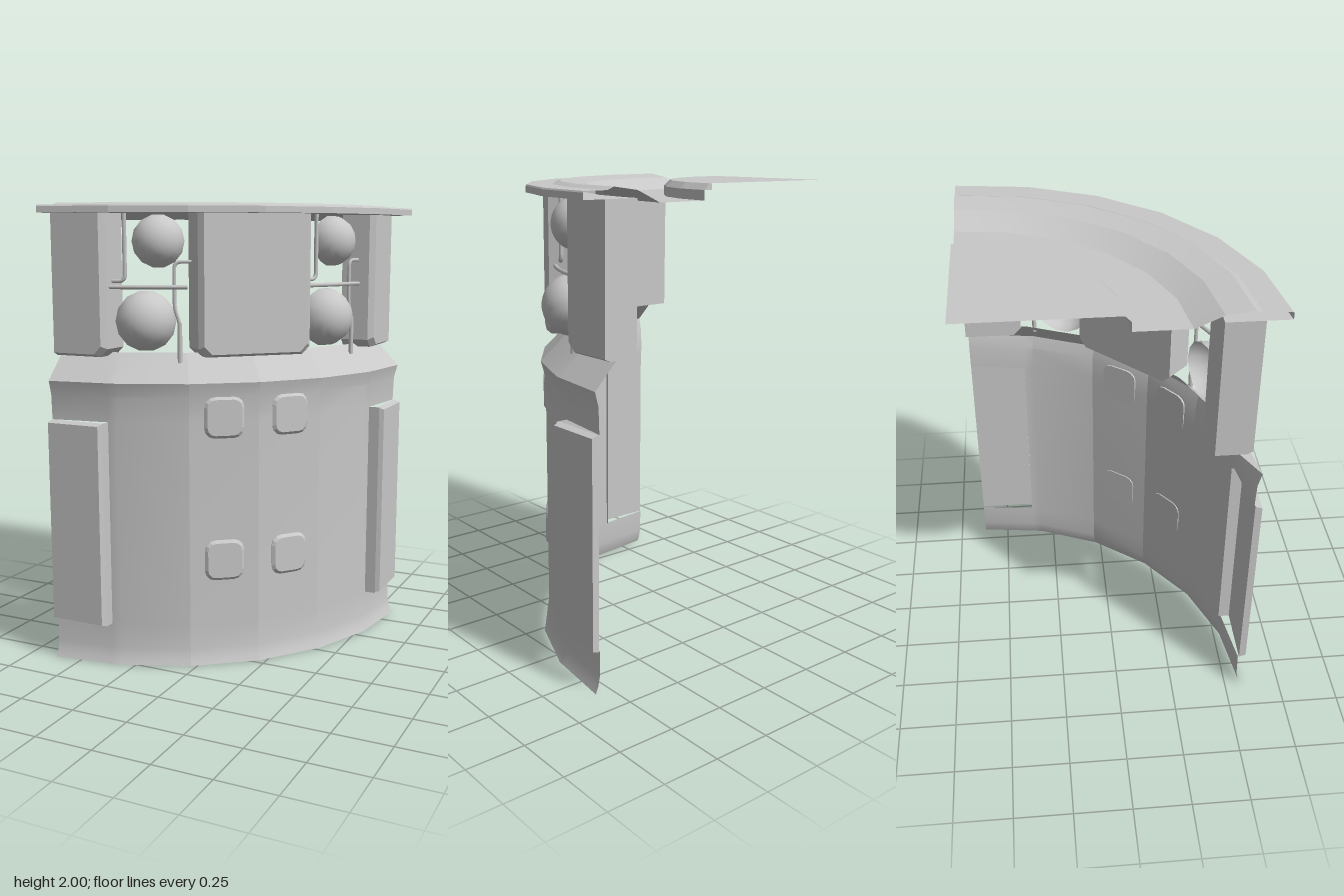
import * as THREE from 'three';
import { toCreasedNormals } from 'three/addons/utils/BufferGeometryUtils.js';

const grey = new THREE.MeshStandardMaterial({ color: 0xc8c8c8, side: THREE.DoubleSide });
grey.name = 'plainGrey';
const rad = THREE.MathUtils.degToRad;
const V2 = (x, y) => new THREE.Vector2(x, y);
// point around the tower axis: angle in degrees from +z towards +x
const polar = (deg, r, y) => new THREE.Vector3(Math.sin(rad(deg)) * r, y, Math.cos(rad(deg)) * r);

function add(parent, geometry, name) {
  const mesh = new THREE.Mesh(geometry, grey);
  mesh.name = name;
  parent.add(mesh);
  return mesh;
}

function geometryFrom(positions) {
  const g = new THREE.BufferGeometry();
  g.setAttribute('position', new THREE.Float32BufferAttribute(positions, 3));
  g.computeVertexNormals();
  return g;
}

// closed solid through matching convex outlines, each { z, pts }, from back to front
function loft(rings) {
  const out = [];
  const put = (p, z) => out.push(p.x, p.y, z);
  const n = rings[0].pts.length;
  for (let i = 0; i < rings.length - 1; i++) {
    const a = rings[i], b = rings[i + 1];
    for (let j = 0; j < n; j++) {
      const k = (j + 1) % n;
      put(a.pts[j], a.z); put(a.pts[k], a.z); put(b.pts[k], b.z);
      put(a.pts[j], a.z); put(b.pts[k], b.z); put(b.pts[j], b.z);
    }
  }
  const back = rings[0], front = rings[rings.length - 1];
  for (let j = 1; j < n - 1; j++) {
    put(front.pts[0], front.z); put(front.pts[j], front.z); put(front.pts[j + 1], front.z);
    put(back.pts[0], back.z); put(back.pts[j + 1], back.z); put(back.pts[j], back.z);
  }
  return geometryFrom(out);
}

// wall strip: rows of [radius, y] swept over unit directions, with optional gaps
function sweepWall(profile, cols, skip) {
  const out = [];
  const put = (c, p) => out.push(c.x * p[0], p[1], c.z * p[0]);
  for (let i = 0; i < cols.length - 1; i++) {
    for (let j = 0; j < profile.length - 1; j++) {
      if (skip(cols[i], cols[i + 1], profile[j], profile[j + 1])) continue;
      const a = cols[i], b = cols[i + 1], p = profile[j], q = profile[j + 1];
      put(a, p); put(b, p); put(b, q);
      put(a, p); put(b, q); put(a, q);
    }
  }
  return toCreasedNormals(geometryFrom(out), 0.32);
}

// rectangle with cut bottom corners; a flat side (cut plane) keeps its place when inset
function boxOutline(x0, x1, inset) {
  const l = x0 === 0 ? 0 : 1, r = x1 === 0 ? 0 : 1, c = 0.035, y0 = 1.355 + inset * 0.6;
  const a = x0 + inset * l, b = x1 - inset * r;
  return [V2(a + c * l, y0), V2(b - c * r, y0), V2(b, y0 + c), V2(b, 1.956), V2(a, 1.956), V2(a, y0 + c)];
}

function rectOutline(x0, x1, y0, y1) {
  return [V2(x0, y0), V2(x1, y0), V2(x1, y1), V2(x0, y1)];
}

function roundedOutline(w, h, r) {
  const pts = [];
  [[1, -1, -90], [1, 1, 0], [-1, 1, 90], [-1, -1, 180]].forEach(([sx, sy, start]) => {
    for (let k = 0; k <= 3; k++) {
      const t = rad(start + k * 30);
      pts.push(V2(sx * (w / 2 - r) + Math.cos(t) * r, sy * (h / 2 - r) + Math.sin(t) * r));
    }
  });
  return pts;
}

// pipe with tight bends through the given points
function pipe(points, radius) {
  const path = new THREE.CurvePath();
  let from = points[0];
  for (let i = 1; i < points.length - 1; i++) {
    const p = points[i];
    const near = (q) => p.clone().lerp(q, Math.min(0.4, 0.03 / p.distanceTo(q)));
    const a = near(points[i - 1]), b = near(points[i + 1]);
    path.add(new THREE.LineCurve3(from, a));
    path.add(new THREE.QuadraticBezierCurve3(a, p, b));
    from = b;
  }
  path.add(new THREE.LineCurve3(from, points[points.length - 1]));
  return new THREE.TubeGeometry(path, 40, radius, 6);
}

export function createModel() {
  const model = new THREE.Group();
  model.name = 'quarterTower';
  const tower = new THREE.Group();
  tower.name = 'towerSector';
  tower.position.set(-0.62, 0, -0.62);
  model.add(tower);

  // lower wall with sloped shoulder, open behind the two end panels
  const profile = [[1.192, 0], [1.18, 0.03], [1.172, 0.07], [1.17, 0.18], [1.17, 1.08], [1.174, 1.19],
    [1.19, 1.25], [1.075, 1.37]];
  const dir = (deg) => polar(deg, 1, 0);
  const edge = 0.86;
  const startEdge = dir(0).lerp(dir(15), edge), endEdge = dir(90).lerp(dir(75), edge);
  const strips = [[dir(0), startEdge, dir(15), dir(30)], [dir(30), dir(45)], [dir(45), dir(60)],
    [dir(60), dir(75), endEdge, dir(90)]];
  const behindPanel = (a, b, p) => p[1] === 0.18 && (b === startEdge || a === endEdge);
  strips.forEach((cols, i) => add(tower, sweepWall(profile, cols, behindPanel), 'wallSection' + (i + 1)));

  // raised end panels: open-backed shells, one against each cut edge
  [[0, 0, 0.26], [90, -0.26, 0]].forEach(([deg, x0, x1]) => {
    const i0 = x0 ? 0.01 : 0, i1 = x1 ? 0.01 : 0;
    const panel = add(tower, loft([
      { z: 1.175, pts: rectOutline(x0, x1, 0.18, 1.08) },
      { z: 1.205, pts: rectOutline(x0 + i0, x1 - i1, 0.19, 1.07) },
    ]), 'endPanel');
    panel.rotation.y = rad(deg);
    // side return from panel face down to the sloping wall
    const out = x0 ? x0 : x1;
    const side = add(tower, new THREE.PlaneGeometry(0.06, 0.9), 'panelReturn');
    side.geometry.rotateY(Math.PI / 2).translate(out, 0.63, 1.155);
    side.rotation.y = rad(deg);
  });

  // rounded hatches on the two middle wall sections
  for (const deg of [37.5, 52.5]) {
    for (const y of [0.47, 1.1]) {
      const hatch = add(tower, loft([
        { z: -0.005, pts: roundedOutline(0.175, 0.18, 0.045) },
        { z: 0.003, pts: roundedOutline(0.175, 0.18, 0.045) },
        { z: 0.014, pts: roundedOutline(0.15, 0.155, 0.035) },
      ]), 'hatch');
      hatch.position.copy(polar(deg, 1.16, y));
      hatch.rotation.y = rad(deg);
    }
  }

  // upper housings: a whole one in the middle and a half at each cut edge
  [[0, 0, 0.255], [45, -0.255, 0.255], [90, -0.255, 0]].forEach(([deg, x0, x1]) => {
    const housing = add(tower, loft([
      { z: 0.99, pts: boxOutline(x0, x1, 0) },
      { z: 1.118, pts: boxOutline(x0, x1, 0) },
      { z: 1.142, pts: boxOutline(x0, x1, 0.02) },
    ]), 'housing');
    housing.rotation.y = rad(deg);
  });

  // domes and pipework in the two bays between the housings
  for (const turn of [0, 45]) {
    const bay = new THREE.Group();
    bay.name = 'bay';
    bay.rotation.y = rad(turn);
    tower.add(bay);
    [[23.5, 1.052, 1.84, 0.112, 'upperDome'], [20.6, 1.065, 1.505, 0.13, 'lowerDome']].forEach(([deg, r, y, size, name]) => {
      const g = new THREE.SphereGeometry(size, 14, 8, 0, Math.PI * 2, 0, Math.PI / 2);
      const dome = add(bay, g.rotateX(Math.PI / 2), name);
      dome.position.copy(polar(deg, r, y));
      dome.rotation.y = rad(deg);
    });
    const rail = [13, 18, 22, 26, 30].map((deg) => polar(deg, 1.12, 1.65));
    add(bay, new THREE.TubeGeometry(new THREE.CatmullRomCurve3(rail), 16, 0.009, 6), 'crossRail');
    add(bay, pipe([polar(16.3, 1.1, 1.955), polar(16.3, 1.1, 1.675), polar(13, 1.1, 1.675)], 0.009), 'dropPipe');
    add(bay, pipe([polar(31, 1.1, 1.755), polar(27.2, 1.105, 1.755), polar(27.2, 1.105, 1.56),
      polar(28.3, 1.107, 1.5), polar(28.3, 1.107, 1.4)], 0.008), 'bentPipe');
    add(bay, pipe([polar(28.3, 1.107, 1.5), polar(28.3, 1.107, 1.33)], 0.01), 'pipeFoot');
  }

  // roof: raised centre, sunken ring, inward slope, stepped rim with underside
  const roof = [[0, 2], [0.63, 2], [0.655, 1.975], [0.655, 1.935], [0.88, 1.935], [0.99, 1.985], [1.1, 2],
    [1.13, 1.988], [1.236, 1.988], [1.24, 1.982], [1.24, 1.956], [1.0, 1.956]];
  const lathe = new THREE.LatheGeometry(roof.map(([r, y]) => V2(r, y)).reverse(), 6, 0, Math.PI / 2);
  add(tower, toCreasedNormals(lathe, 0.15), 'roof');

  return model;
}
